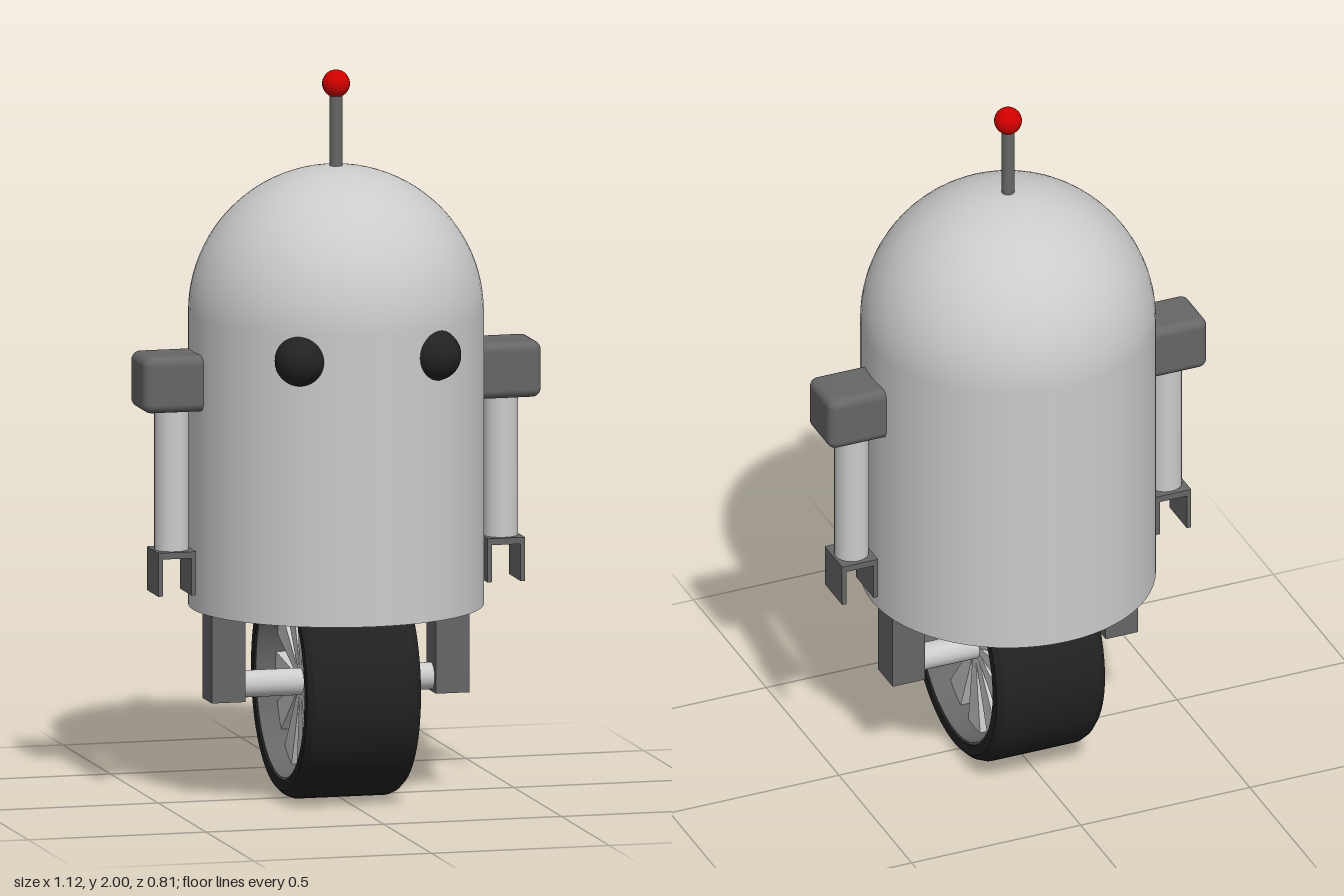
import * as THREE from 'three';
import { RoundedBoxGeometry } from 'three/addons/geometries/RoundedBoxGeometry.js';
import { toCreasedNormals } from 'three/addons/utils/BufferGeometryUtils.js';

const mat = (color) => new THREE.MeshStandardMaterial({ color });
const grey = mat(0xcccccc);
const darkGrey = mat(0x666666);
const black = mat(0x222222);
const red = mat(0xd00000);

function add(parent, name, geometry, material, x = 0, y = 0, z = 0) {
  const mesh = new THREE.Mesh(geometry, material);
  mesh.name = name;
  mesh.position.set(x, y, z);
  parent.add(mesh);
  return mesh;
}

// closed polygon pushed out along z, centred on z = 0
function slab(points, depth) {
  const shape = new THREE.Shape(points.map(([x, y]) => new THREE.Vector2(x, y)));
  return new THREE.ExtrudeGeometry(shape, { depth, bevelEnabled: false }).translate(0, 0, -depth / 2);
}

// solid of revolution around the x axis, from [radius, offset] pairs
function ring(points) {
  const profile = points.map(([r, o]) => new THREE.Vector2(r, o));
  return toCreasedNormals(new THREE.LatheGeometry(profile, 64), 0.4).rotateZ(Math.PI / 2);
}

function createWheel() {
  const wheel = new THREE.Group();
  wheel.name = 'wheel';
  add(wheel, 'tyre', ring([
    [0.266, -0.16], [0.295, -0.16], [0.31, -0.145], [0.318, -0.125],
    [0.318, 0.125], [0.31, 0.145], [0.295, 0.16], [0.266, 0.16], [0.266, -0.16],
  ]), black);
  add(wheel, 'rim', ring([
    [0.26, -0.155], [0.267, -0.155], [0.267, 0.155], [0.26, 0.155], [0.26, -0.155],
  ]), darkGrey);

  // wedge-shaped spokes widening towards the rim
  const spoke = slab([[-0.008, 0.02], [0.008, 0.02], [0.042, 0.264], [-0.042, 0.264]], 0.2)
    .rotateY(Math.PI / 2);
  for (let i = 0; i < 12; i++) {
    add(wheel, 'spoke', spoke, grey).rotation.x = (i * Math.PI) / 6;
  }
  add(wheel, 'axle', new THREE.CylinderGeometry(0.037, 0.037, 0.6, 32).rotateZ(Math.PI / 2), grey);
  wheel.position.y = 0.32;
  return wheel;
}

function createArm(side) {
  const arm = new THREE.Group();
  arm.name = side > 0 ? 'leftArm' : 'rightArm';
  add(arm, 'shoulder', new RoundedBoxGeometry(0.2, 0.155, 0.16, 4, 0.025), darkGrey, side * 0.46, 1.163);
  add(arm, 'forearm', new THREE.CylinderGeometry(0.047, 0.047, 0.42, 32), grey, side * 0.463, 0.9);
  // open claw, prongs pointing down
  const claw = slab([
    [-0.053, 0.58], [-0.04, 0.58], [-0.04, 0.682], [0.04, 0.682],
    [0.04, 0.58], [0.053, 0.58], [0.053, 0.7], [-0.053, 0.7],
  ], 0.12);
  add(arm, 'claw', claw, darkGrey, side * 0.463);
  return arm;
}

export function createModel() {
  const robot = new THREE.Group();
  robot.name = 'robot';

  // body and head
  add(robot, 'body', new THREE.CylinderGeometry(0.402, 0.402, 0.805, 64), grey, 0, 0.9325);
  add(robot, 'dome', new THREE.SphereGeometry(0.402, 64, 24, 0, Math.PI * 2, 0, Math.PI / 2), grey, 0, 1.335);

  // antenna
  add(robot, 'antenna', new THREE.CylinderGeometry(0.018, 0.018, 0.25, 24), darkGrey, 0, 1.825);
  add(robot, 'antennaBall', new THREE.SphereGeometry(0.038, 24, 16), red, 0, 1.962);

  // mirrored parts
  for (const side of [-1, 1]) {
    add(robot, 'eye', new THREE.SphereGeometry(0.07, 32, 24), black, side * 0.19, 1.26, 0.335);
    add(robot, 'leg', new THREE.BoxGeometry(0.095, 0.27, 0.1), darkGrey, side * 0.315, 0.413);
    robot.add(createArm(side));
  }

  robot.add(createWheel());
  return robot;
}
